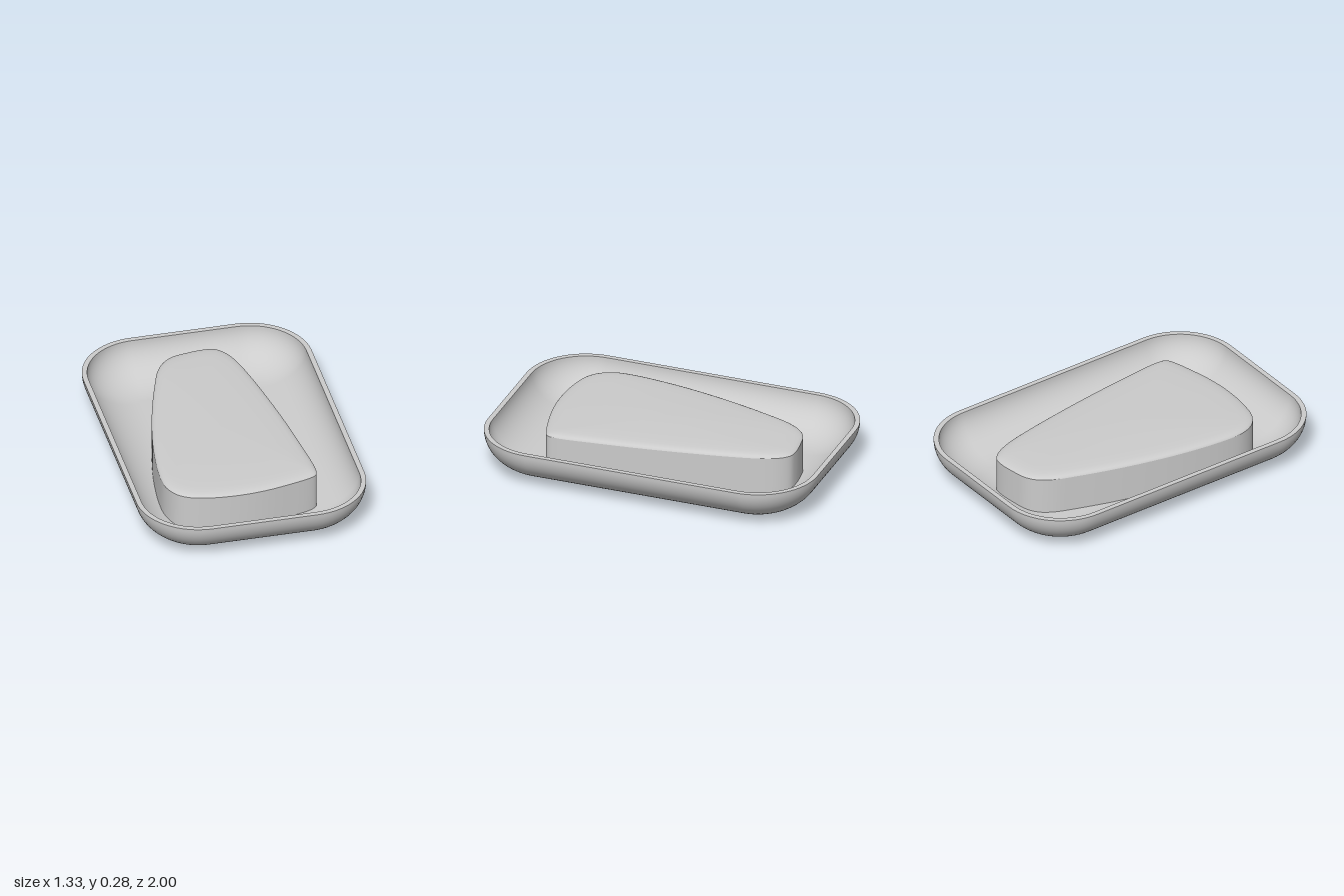
import * as THREE from 'three';

const HALF_X = 0.665, HALF_Z = 1, CORNER = 0.36, HEIGHT = 0.24, WALL = 0.03, FILLET = 0.33;

// Skin through a list of closed rings with equal point counts
function loft(rings) {
  const n = rings[0].length, index = [];
  for (let r = 0; r < rings.length - 1; r++) {
    for (let i = 0; i < n; i++) {
      const j = (i + 1) % n, a = r * n + i, b = r * n + j;
      index.push(a, a + n, b, b, a + n, b + n);
    }
  }
  const geo = new THREE.BufferGeometry();
  geo.setAttribute('position', new THREE.Float32BufferAttribute(rings.flat(2), 3));
  geo.setIndex(index);
  geo.computeVertexNormals();
  return geo;
}

// Rounded rectangle, moved inwards by inset
function trayRing(inset, y) {
  const pts = [], steps = 16, radius = CORNER - inset;
  const cx = HALF_X - CORNER, cz = HALF_Z - CORNER;
  [[1, 1], [-1, 1], [-1, -1], [1, -1]].forEach(([sx, sz], q) => {
    for (let i = 0; i <= steps; i++) {
      const a = (q + i / steps) * Math.PI / 2;
      pts.push([sx * cx + radius * Math.cos(a), y, sz * cz + radius * Math.sin(a)]);
    }
  });
  return pts;
}

// Elliptical wall from the flat floor up to the rim
function bowlRings(wall, floor) {
  const rings = [], steps = 20, run = FILLET - wall;
  for (let i = 0; i <= steps; i++) {
    const a = i / steps * Math.PI / 2;
    rings.push(trayRing(wall + run * (1 - Math.sin(a)), HEIGHT - (HEIGHT - floor) * Math.cos(a)));
  }
  const centre = rings[0].map(() => [0, floor, 0]);
  return [centre, ...rings];
}

export function createModel() {
  const model = new THREE.Group();
  const material = new THREE.MeshStandardMaterial({ color: 0xcccccc });
  const add = (name, geometry, parent) => {
    const mesh = new THREE.Mesh(geometry, material);
    mesh.name = name;
    parent.add(mesh);
  };

  // Tray: outer shell, flat rim, inner bowl
  const tray = new THREE.Group();
  tray.name = 'tray';
  model.add(tray);
  add('trayOuter', loft(bowlRings(0, 0)), tray);
  add('trayRim', loft([trayRing(0, HEIGHT), trayRing(WALL, HEIGHT)]), tray);
  add('trayInner', loft(bowlRings(WALL, 0.025).reverse()), tray);

  // Slab: tapered outline in x and z, with one tight corner
  const outline = [
    [0.07, -0.78], [0.13, -0.77], [0.18, -0.72], [0.22, -0.63], [0.26, -0.47], [0.31, -0.2],
    [0.35, 0.06], [0.385, 0.35], [0.402, 0.53], [0.395, 0.6], [0.37, 0.623], [0.2, 0.672],
    [0.05, 0.7], [-0.1, 0.708], [-0.25, 0.695], [-0.36, 0.665], [-0.43, 0.61], [-0.47, 0.52],
    [-0.475, 0.4], [-0.455, 0.2], [-0.42, 0], [-0.36, -0.25], [-0.28, -0.51], [-0.235, -0.63],
    [-0.18, -0.71], [-0.12, -0.75], [-0.03, -0.77],
  ].map(([x, z]) => new THREE.Vector3(x, 0, z));
  const edge = new THREE.CatmullRomCurve3(outline, true).getPoints(160).slice(0, -1);
  const slabRing = (scale, y) =>
    edge.map((p) => [-0.03 + (p.x + 0.03) * scale, y, 0.05 + (p.z - 0.05) * scale]);

  const slab = new THREE.Group();
  slab.name = 'slab';
  model.add(slab);
  add('slabSide', loft([slabRing(0, 0.02), slabRing(1, 0.02)]), slab);
  add('slabWall', loft([slabRing(1, 0.02), slabRing(1, 0.243)]), slab);

  // Gently domed top with a soft edge
  const crown = [[1, 0.243], [0.992, 0.249], [0.975, 0.255], [0.94, 0.261], [0.88, 0.265],
    [0.75, 0.269], [0.55, 0.272], [0.3, 0.275], [0, 0.276]];
  add('slabTop', loft(crown.map(([s, y]) => slabRing(s, y))), slab);

  return model;
}
